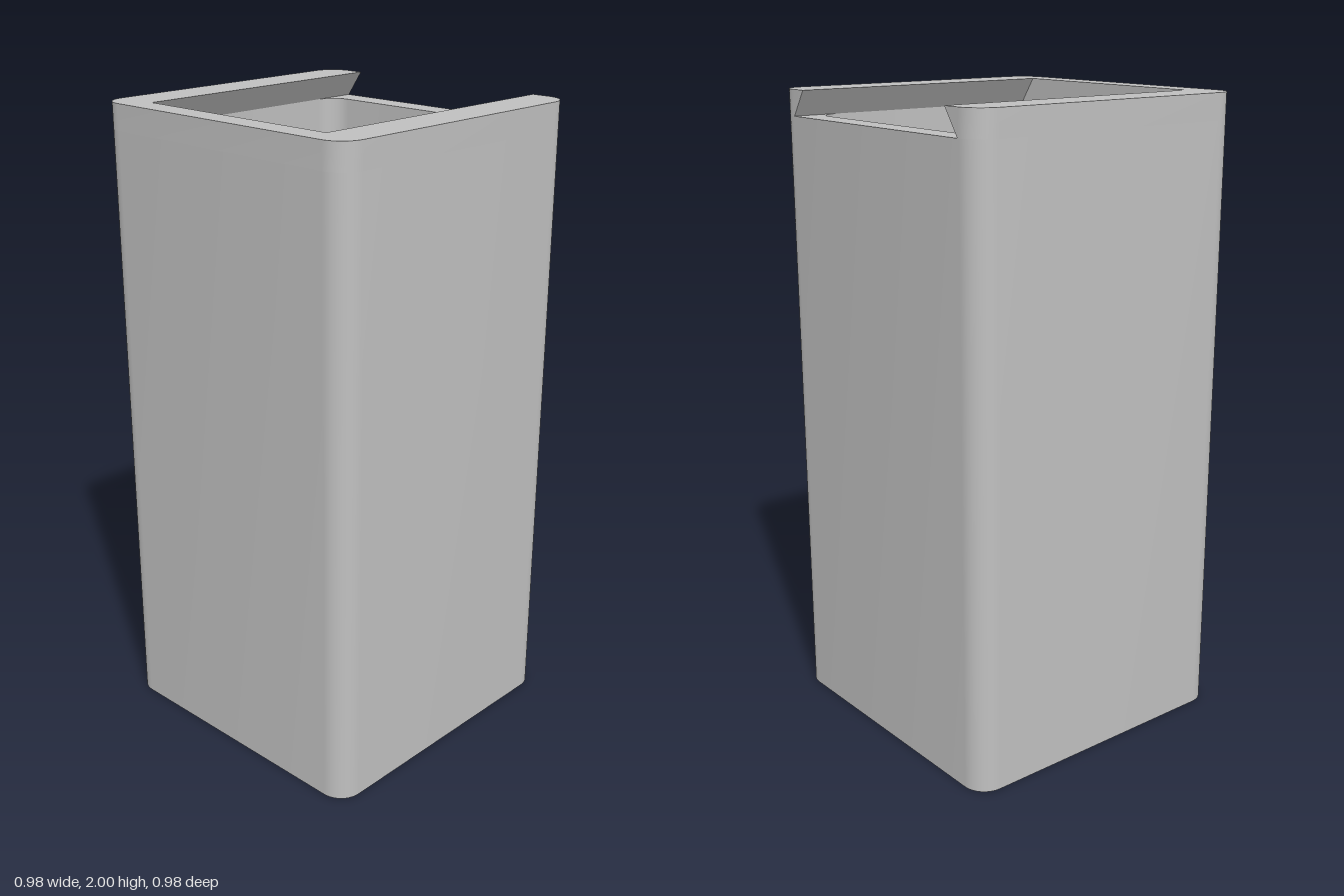
import * as THREE from 'three';
import { mergeGeometries, toCreasedNormals } from 'three/addons/utils/BufferGeometryUtils.js';

const H = 2, HALF = 0.49, OUTER_R = 0.075;        // outer box
const INNER = 0.41, INNER_R = 0.07, FLOOR = 0.08; // cavity
const GROOVE_Y = 1.92, GROOVE_TOP = 0.355;        // dovetail lid groove, open at +x

// Points of a quarter arc, starting at angle q * 90 degrees
function arc(cx, cy, r, q, steps = 10) {
  return Array.from({ length: steps + 1 }, (_, i) => {
    const a = (q + i / steps) * Math.PI / 2;
    return new THREE.Vector2(cx + r * Math.cos(a), cy + r * Math.sin(a));
  });
}

// Counter-clockwise rounded square
function roundedSquare(half, r) {
  const c = half - r;
  return [[1, 1], [-1, 1], [-1, -1], [1, -1]].flatMap(([sx, sy], q) => arc(sx * c, sy * c, r, q));
}

// Wall between two loops of equal length, facing outward for counter-clockwise loops
function wall(lower, upper, y0, y1) {
  const pos = [];
  const put = (p, y) => pos.push(p.x, y, -p.y);
  lower.forEach((a, i) => {
    const j = (i + 1) % lower.length, b = lower[j];
    put(a, y0); put(b, y0); put(upper[j], y1);
    put(a, y0); put(upper[j], y1); put(upper[i], y1);
  });
  const g = new THREE.BufferGeometry();
  g.setAttribute('position', new THREE.Float32BufferAttribute(pos, 3));
  return g;
}

// Flat horizontal face
function cap(points, y, up = true) {
  const g = new THREE.ShapeGeometry(new THREE.Shape(points)).toNonIndexed();
  g.rotateX(up ? -Math.PI / 2 : Math.PI / 2).translate(0, y, 0);
  g.deleteAttribute('uv');
  g.deleteAttribute('normal');
  return g;
}

export function createModel() {
  const group = new THREE.Group();
  const grey = new THREE.MeshStandardMaterial({ color: 0xc0c0c0 });
  grey.name = 'light grey';

  const add = (name, parts) => {
    const mesh = new THREE.Mesh(toCreasedNormals(mergeGeometries(parts), 0.5), grey);
    mesh.name = name;
    group.add(mesh);
  };
  const v = (x, y) => new THREE.Vector2(x, y);

  const outer = roundedSquare(HALF, OUTER_R);
  const inner = roundedSquare(INNER, INNER_R);

  // Outer shell with its underside
  add('outerShell', [wall(outer, outer, 0, GROOVE_Y), cap(outer, 0, false)]);

  // Inside walls and floor
  const inward = [...inner].reverse();
  add('cavity', [wall(inward, inward, FLOOR, GROOVE_Y), cap(inner, FLOOR)]);

  // Groove bed: sill on the open side and small ledges in the closed corners
  const c = INNER - INNER_R;
  const sill = [
    ...arc(c, -c, INNER_R, 3), ...arc(c, c, INNER_R, 0),
    v(HALF, INNER), v(HALF, -INNER),
  ];
  const ledges = [1, -1].map((s) =>
    cap([v(-INNER, s * INNER), ...arc(-c, s * c, INNER_R, s > 0 ? 1 : 2)], GROOVE_Y));
  add('grooveBed', [cap(sill, GROOVE_Y), ...ledges]);

  // U-shaped rim whose two arms lean inward over the groove
  const rimLoop = (z) => [v(HALF, z), ...outer, v(HALF, -z), v(-INNER, -z), v(-INNER, z)];
  const rimLow = rimLoop(INNER), rimHigh = rimLoop(GROOVE_TOP);
  add('dovetailRim', [wall(rimLow, rimHigh, GROOVE_Y, H), cap(rimHigh, H)]);

  return group;
}
